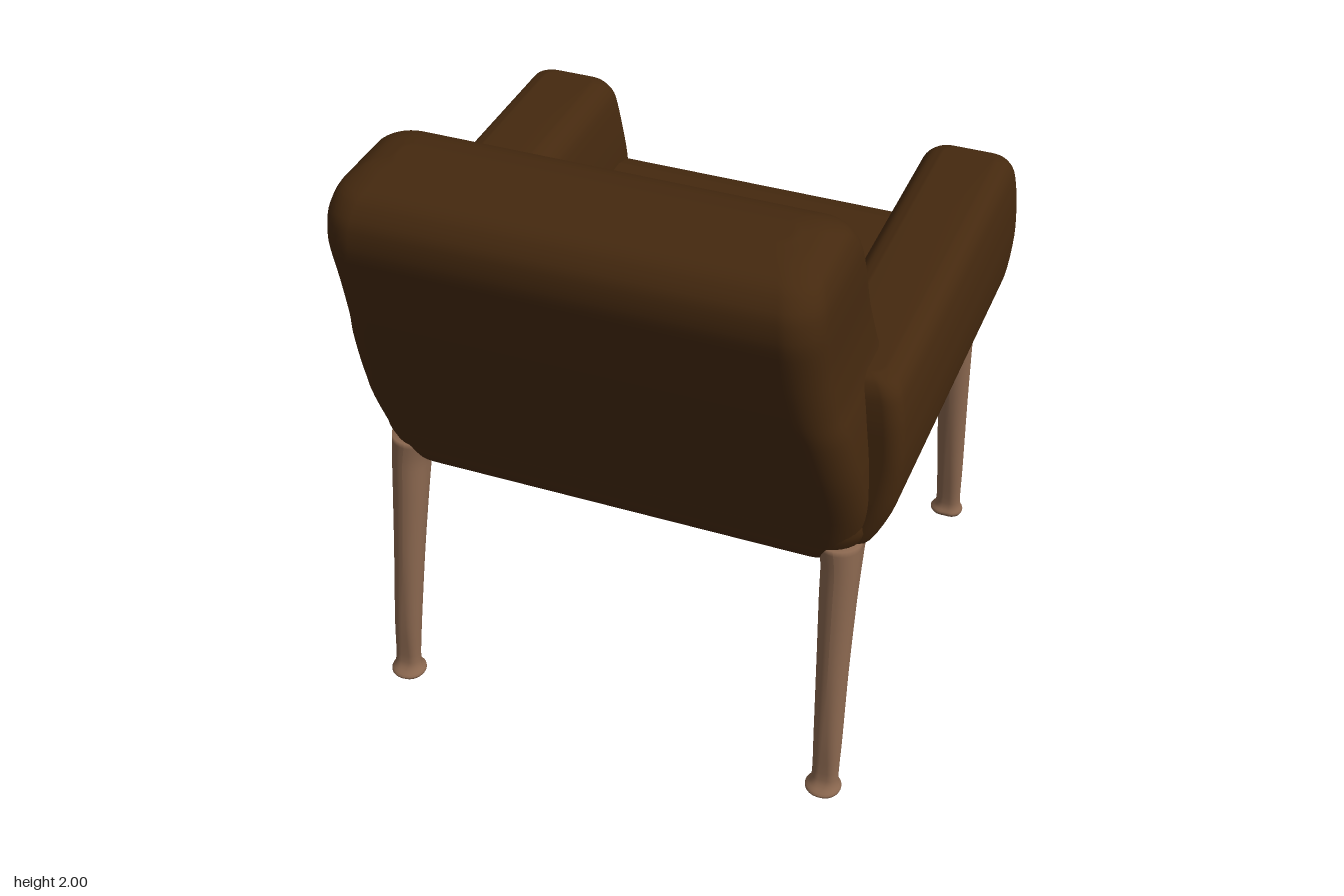
import * as THREE from 'three';

const fabric = new THREE.MeshStandardMaterial({ color: 0x45290f });
const wood = new THREE.MeshStandardMaterial({ color: 0x8a674f });

// Smooth loft through rounded rectangles stacked in y; row = [y, x0, x1, z0, z1, cornerRadius]
function loft(rows, steps = 4, corner = 8) {
  const curve = (a, b, c) => new THREE.CatmullRomCurve3(
    rows.map(r => new THREE.Vector3(r[a], r[b], r[c])), false, 'catmullrom', 0.4);
  const c1 = curve(0, 1, 2), c2 = curve(3, 4, 5);
  const levels = (rows.length - 1) * steps;
  const ring = 4 * (corner + 1);
  const pos = [], idx = [];
  for (let i = 0; i <= levels; i++) {
    const { x: y, y: x0, z: x1 } = c1.getPoint(i / levels);
    const { x: z0, y: z1, z: radius } = c2.getPoint(i / levels);
    const hx = (x1 - x0) / 2, hz = (z1 - z0) / 2;
    const r = Math.min(radius, hx, hz);
    for (let q = 0; q < 4; q++) {
      const sx = q === 0 || q === 3 ? 1 : -1, sz = q < 2 ? 1 : -1;
      for (let k = 0; k <= corner; k++) {
        const a = (q + k / corner) * Math.PI / 2;
        pos.push((x0 + x1) / 2 + sx * (hx - r) + r * Math.cos(a), y,
          (z0 + z1) / 2 + sz * (hz - r) + r * Math.sin(a));
      }
    }
  }
  for (let i = 0; i < levels; i++) {
    for (let j = 0; j < ring; j++) {
      const a = i * ring + j, b = i * ring + (j + 1) % ring;
      idx.push(a, a + ring, b, b, a + ring, b + ring);
    }
  }
  // End caps
  const last = rows[rows.length - 1];
  for (const [row, start, top] of [[rows[0], 0, false], [last, levels * ring, true]]) {
    const centre = pos.length / 3;
    pos.push((row[1] + row[2]) / 2, row[0], (row[3] + row[4]) / 2);
    for (let j = 0; j < ring; j++) {
      const a = start + j, b = start + (j + 1) % ring;
      if (top) idx.push(centre, b, a); else idx.push(centre, a, b);
    }
  }
  const g = new THREE.BufferGeometry();
  g.setAttribute('position', new THREE.Float32BufferAttribute(pos, 3));
  g.setIndex(idx);
  g.computeVertexNormals();
  return g;
}

// Rows symmetric about x = 0: [y, halfWidth, z0, z1, radius]
const centred = rows => rows.map(([y, w, ...rest]) => [y, -w, w, ...rest]);
// The same rows on the other side of x = 0
const mirrored = rows => rows.map(([y, x0, x1, ...rest]) => [y, -x1, -x0, ...rest]);

// Seat block with a rounded front lip
const SEAT = centred([
  [0.815, 0.62, -0.76, 0.44, 0.08],
  [0.825, 0.69, -0.82, 0.50, 0.10],
  [0.87, 0.73, -0.85, 0.53, 0.11],
  [0.95, 0.76, -0.862, 0.55, 0.10],
  [1.05, 0.74, -0.862, 0.55, 0.09],
  [1.13, 0.70, -0.845, 0.54, 0.08],
  [1.19, 0.66, -0.80, 0.50, 0.07],
  [1.215, 0.60, -0.72, 0.45, 0.06],
]);

// Reclined backrest
const BACK = centred([
  [0.825, 0.69, 0.20, 0.50, 0.10],
  [0.90, 0.735, 0.18, 0.54, 0.10],
  [1.04, 0.76, 0.17, 0.59, 0.10],
  [1.22, 0.755, 0.18, 0.665, 0.10],
  [1.40, 0.735, 0.215, 0.735, 0.10],
  [1.50, 0.715, 0.25, 0.775, 0.10],
  [1.65, 0.702, 0.305, 0.825, 0.10],
  [1.80, 0.70, 0.36, 0.865, 0.10],
  [1.89, 0.693, 0.395, 0.86, 0.10],
  [1.95, 0.67, 0.44, 0.82, 0.09],
  [1.985, 0.62, 0.51, 0.75, 0.07],
  [2.0, 0.55, 0.59, 0.67, 0.03],
]);

// Left armrest
const ARM = [
  [0.83, 0.56, 0.70, -0.80, 0.46, 0.06],
  [0.90, 0.50, 0.765, -0.83, 0.49, 0.06],
  [1.04, 0.485, 0.825, -0.835, 0.50, 0.06],
  [1.20, 0.49, 0.843, -0.832, 0.50, 0.05],
  [1.34, 0.51, 0.838, -0.828, 0.50, 0.05],
  [1.43, 0.53, 0.823, -0.825, 0.49, 0.05],
  [1.47, 0.56, 0.80, -0.81, 0.47, 0.05],
  [1.485, 0.60, 0.76, -0.78, 0.44, 0.04],
];

// Left legs, each flaring into a small foot
const FRONT_LEG = [
  [0, 0.655, 0.755, -0.845, -0.775, 1],
  [0.015, 0.648, 0.76, -0.852, -0.768, 1],
  [0.05, 0.665, 0.748, -0.842, -0.782, 1],
  [0.20, 0.66, 0.748, -0.838, -0.768, 1],
  [0.50, 0.645, 0.745, -0.835, -0.74, 1],
  [0.80, 0.632, 0.745, -0.828, -0.712, 1],
  [0.90, 0.62, 0.745, -0.825, -0.70, 1],
];
const BACK_LEG = [
  [0, 0.655, 0.755, 0.548, 0.64, 1],
  [0.015, 0.648, 0.76, 0.54, 0.648, 1],
  [0.05, 0.665, 0.748, 0.56, 0.615, 1],
  [0.20, 0.66, 0.748, 0.535, 0.607, 1],
  [0.45, 0.648, 0.745, 0.49, 0.585, 1],
  [0.70, 0.635, 0.745, 0.44, 0.558, 1],
  [0.82, 0.63, 0.745, 0.405, 0.545, 1],
  [0.90, 0.61, 0.745, 0.37, 0.54, 1],
];

export function createModel() {
  const chair = new THREE.Group();
  chair.name = 'armchair';
  const add = (name, rows, material) => {
    const mesh = new THREE.Mesh(loft(rows), material);
    mesh.name = name;
    chair.add(mesh);
  };

  // The chair faces -z, so its own left is still named by +x
  add('seat', SEAT, fabric);
  add('backrest', BACK, fabric);
  for (const [name, rows, material] of [
    ['Armrest', ARM, fabric], ['FrontLeg', FRONT_LEG, wood], ['BackLeg', BACK_LEG, wood],
  ]) {
    add('left' + name, rows, material);
    add('right' + name, mirrored(rows), material);
  }
  return chair;
}
